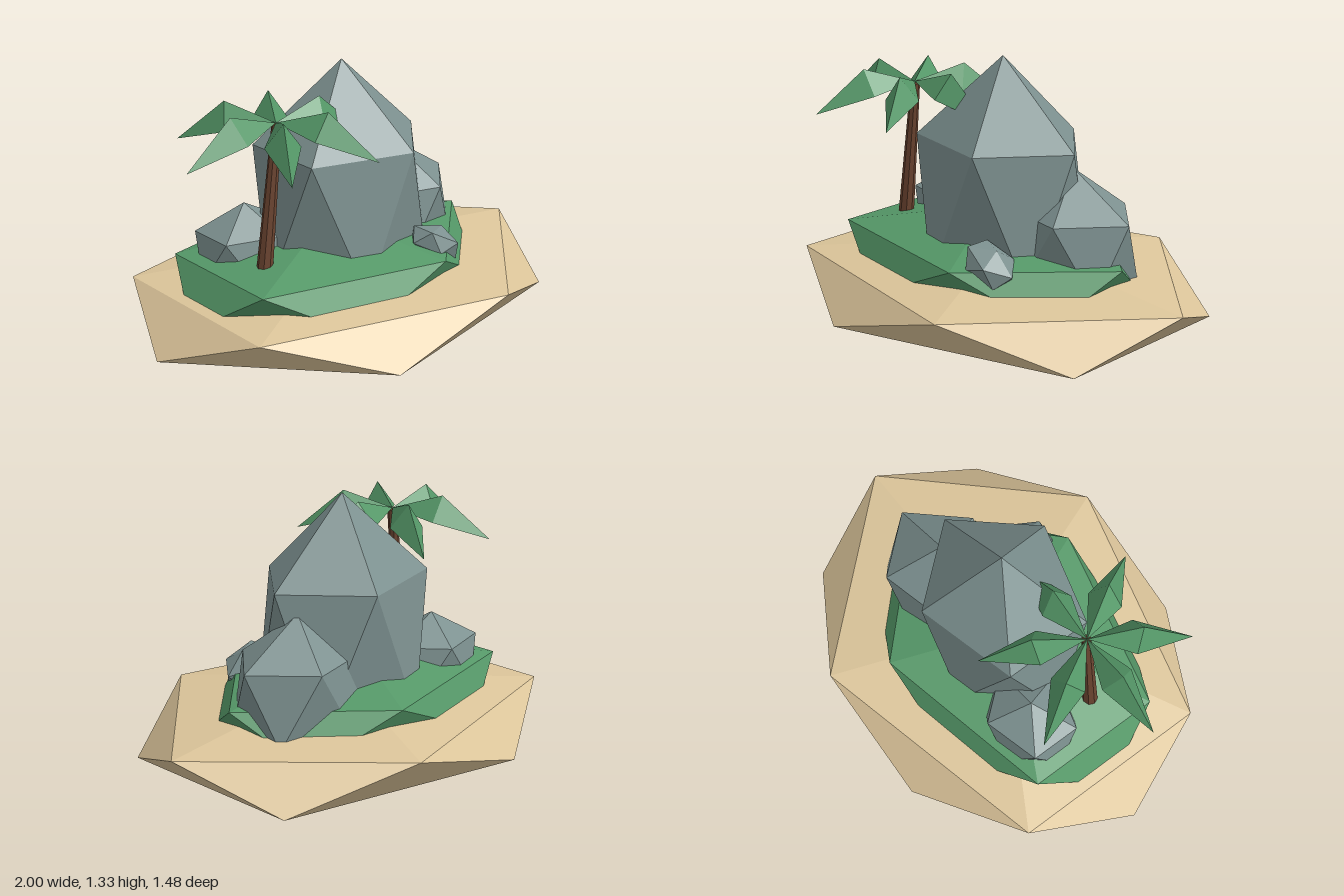
import * as THREE from 'three';
import { ConvexGeometry } from 'three/addons/geometries/ConvexGeometry.js';

const mat = (color, side = THREE.FrontSide) =>
  new THREE.MeshStandardMaterial({ color, flatShading: true, side });

// Twenty-sided stone: two poles and two staggered rings, unit ring radius
function stoneGeometry() {
  const points = [new THREE.Vector3(0, 1, 0), new THREE.Vector3(0, -1, 0)];
  for (let i = 0; i < 10; i++) {
    const a = (i * Math.PI) / 5;
    points.push(new THREE.Vector3(Math.cos(a), i % 2 ? -0.447 : 0.447, Math.sin(a)));
  }
  return new ConvexGeometry(points);
}

// Folded palm leaf pointing along +x: hub, raised ridge, two drooping edges, tip
function leafGeometry() {
  const hub = [0, 0, 0], ridge = [0.23, 0.07, 0], tip = [0.45, -0.12, 0];
  const left = [0.2, -0.04, -0.075], right = [0.2, -0.04, 0.075];
  const faces = [hub, ridge, left, hub, right, ridge, ridge, tip, left, ridge, right, tip];
  const geo = new THREE.BufferGeometry();
  geo.setAttribute('position', new THREE.Float32BufferAttribute(faces.flat(), 3));
  geo.computeVertexNormals();
  return geo;
}

export function createModel() {
  const model = new THREE.Group();
  model.name = 'island';
  const stone = stoneGeometry();
  const rock = mat(0x7d9190), sand = mat(0xdcc59a), grass = mat(0x559868);
  const bark = mat(0x6b4430), foliage = mat(0x559868, THREE.DoubleSide);

  const add = (parent, name, geo, material) => {
    const mesh = new THREE.Mesh(geo, material);
    mesh.name = name;
    parent.add(mesh);
    return mesh;
  };

  // Ground layers and boulders: name, material, centre, radii, tilt
  const stones = [
    ['sandBase', sand, [0, 0.3, 0], [1, 0.2, 0.778], 0],
    ['grassMound', grass, [-0.072, 0.405, 0], [0.752, 0.235, 0.531], 0],
    ['mainRock', rock, [0, 0.665, 0], [0.41, 0.665, 0.344], 0],
    ['sideRock', rock, [0.344, 0.528, -0.07], [0.311, 0.352, 0.252], 0],
    ['backRock', rock, [-0.42, 0.513, -0.156], [0.224, 0.217, 0.193], 0],
    ['frontRock', rock, [0.245, 0.525, 0.345], [0.125, 0.08, 0.1], -0.5],
  ];
  for (const [name, material, centre, radii, tilt] of stones) {
    const mesh = add(model, name, stone, material);
    mesh.position.set(...centre);
    mesh.scale.set(...radii);
    mesh.rotation.z = tilt;
  }

  // Leaning palm tree
  const palm = new THREE.Group();
  palm.name = 'palmTree';
  model.add(palm);
  const base = new THREE.Vector3(-0.52, 0.45, 0.105);
  const top = new THREE.Vector3(-0.436, 1.155, 0.105);
  const axis = top.clone().sub(base);
  const trunk = add(palm, 'trunk', new THREE.CylinderGeometry(0.021, 0.037, axis.length(), 8), bark);
  trunk.position.copy(base).lerp(top, 0.5);
  trunk.quaternion.setFromUnitVectors(new THREE.Vector3(0, 1, 0), axis.normalize());

  // Crown of six leaves
  const leaf = leafGeometry();
  for (let i = 0; i < 6; i++) {
    const mesh = add(palm, 'leaf', leaf, foliage);
    mesh.position.set(-0.44, 1.162, 0.105);
    mesh.rotation.y = (i * Math.PI) / 3;
  }
  return model;
}
